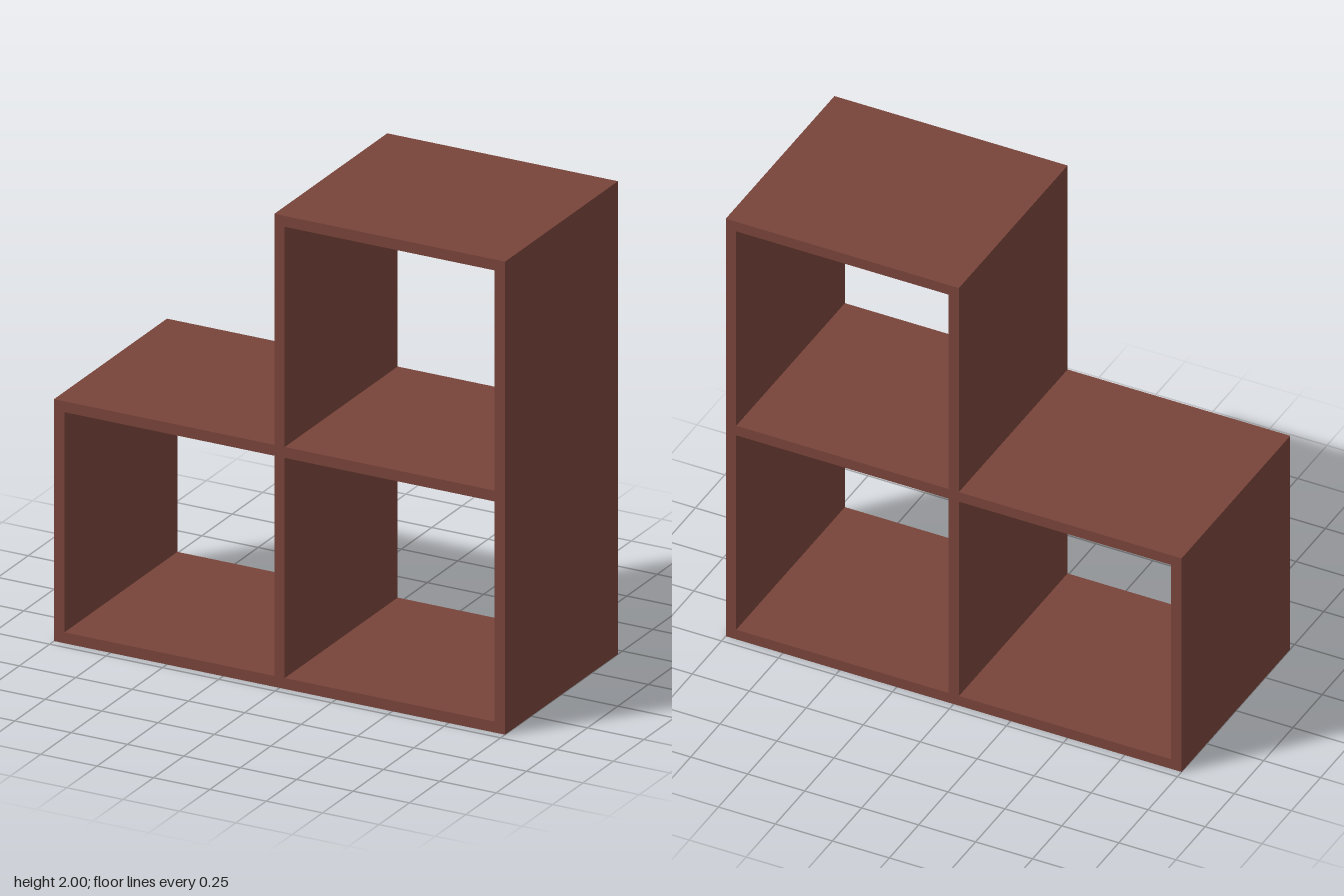
import * as THREE from 'three';

const T = 0.046;      // board thickness
const DEPTH = 0.928;  // front to back
const H = T / 2;

// Closed outline of a rectangle, used for each open compartment
function rectangle(x0, y0, x1, y1) {
  return new THREE.Path([[x0, y0], [x0, y1], [x1, y1], [x1, y0]].map(p => new THREE.Vector2(...p)));
}

export function createModel() {
  const group = new THREE.Group();
  group.name = 'steppedCubeShelf';
  const wood = new THREE.MeshStandardMaterial({ color: 0x78443a });

  // Stepped outline: two cubes wide below, one cube on top at the +x side
  const outline = new THREE.Shape([
    [-1, 0], [1, 0], [1, 2], [-H, 2], [-H, 1 + H], [-1, 1 + H],
  ].map(p => new THREE.Vector2(...p)));

  // Three compartments, open from front to back
  outline.holes.push(
    rectangle(-1 + T, T, -H, 1 - H),
    rectangle(H, T, 1 - T, 1 - H),
    rectangle(H, 1 + H, 1 - T, 2 - T),
  );

  const geometry = new THREE.ExtrudeGeometry(outline, { depth: DEPTH, bevelEnabled: false });
  geometry.translate(0, 0, -DEPTH / 2);
  const frame = new THREE.Mesh(geometry, wood);
  frame.name = 'shelfFrame';
  group.add(frame);
  return group;
}
